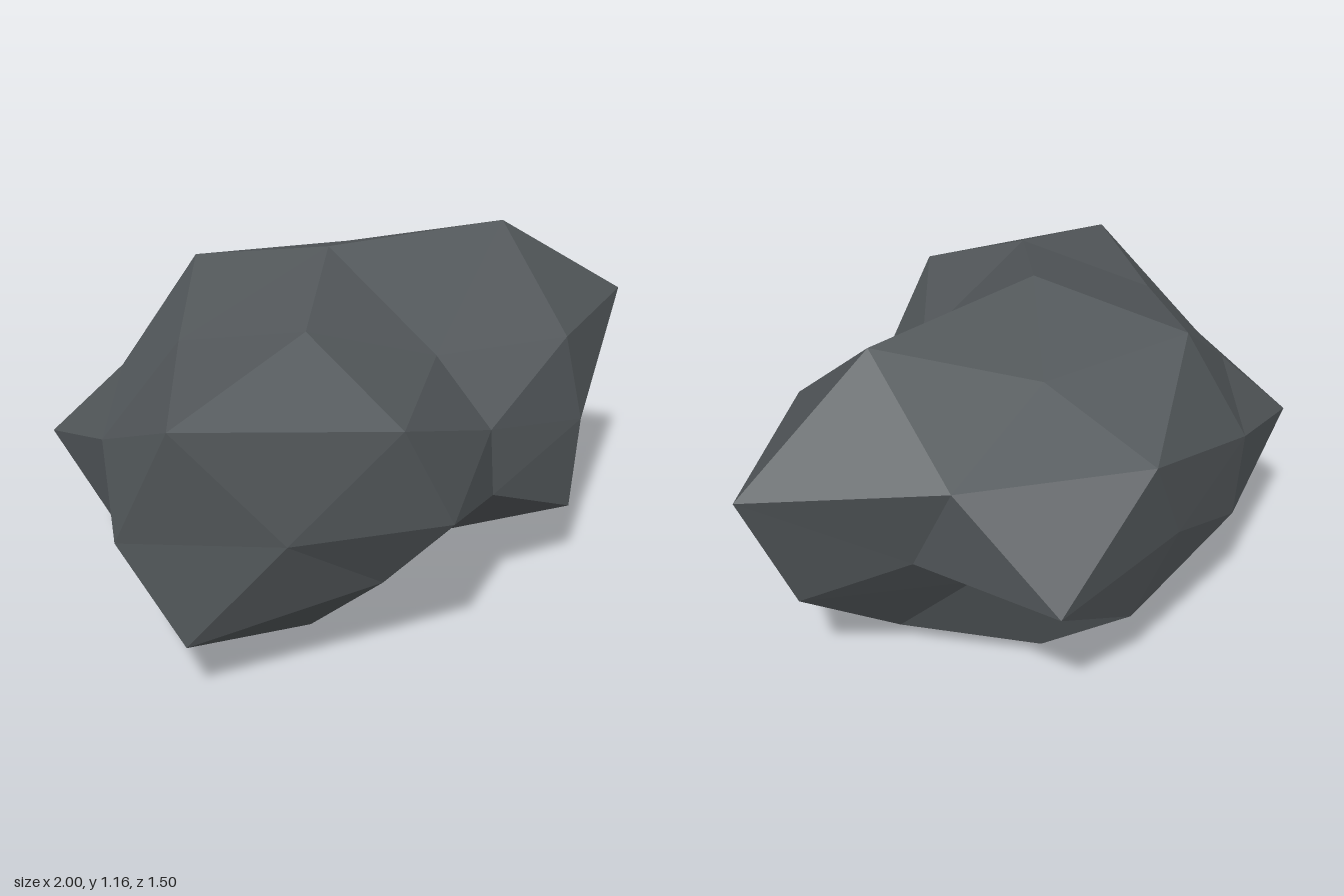
import * as THREE from 'three';

// Faceted boulder: an icosphere whose pole faces +z, stretched per axis,
// with every corner pushed in or out by its own amount.
const CENTRE = [-0.12, 0.56, 0];
const STRETCH = [0.365, 0, 0.2];

// Rows from front pole to back pole: direction z, first angle (degrees), radius per corner
const ROWS = {
  front: { z: 1, start: 0, r: [0.54] },
  frontCap: { z: 0.8507, start: 36, r: [0.345, 0.67, 0.53, 0.475, 0.36] },
  frontRing: { z: 0.4472, start: 36, r: [0.55, 0.595, 0.615, 0.56, 0.592] },
  frontMid: { z: 0.5257, start: 72, r: [0.39, 0.735, 0.68, 0.37, 0.48] },
  equator: { z: 0, start: 18, r: [0.813, 0.712, 0.6, 0.49, 0.435, 0.42, 0.64, 0.56, 0.585, 0.614] },
  backRing: { z: -0.4472, start: 0, r: [0.425, 0.55, 0.43, 0.505, 0.58] },
  backMid: { z: -0.5257, start: 36, r: [0.625, 0.6, 0.55, 0.56, 0.34] },
  backCap: { z: -0.8507, start: 0, r: [0.69, 0.65, 0.49, 0.47, 0.54] },
  back: { z: -1, start: 0, r: [0.47] },
};

function corner(name, k) {
  const { z, start, r } = ROWS[name];
  const i = k % r.length;
  const angle = THREE.MathUtils.degToRad(start + (360 / r.length) * i);
  const flat = Math.sqrt(1 - z * z);
  const dir = [flat * Math.cos(angle), flat * Math.sin(angle), z];
  return dir.map((d, axis) => CENTRE[axis] + d * (r[i] + STRETCH[axis]));
}

function rockGeometry() {
  const positions = [];
  // One large triangle becomes four, using the corners on its edges
  const split = (a, b, c, ab, bc, ca) =>
    [a, ab, ca, ab, b, bc, ca, bc, c, ab, bc, ca].forEach((p) => positions.push(...p));

  for (let k = 0; k < 5; k++) {
    const n = k + 1;
    const a0 = corner('frontRing', k), a1 = corner('frontRing', n);
    const b0 = corner('backRing', k), b1 = corner('backRing', n);
    const e0 = corner('equator', 2 * k), e1 = corner('equator', 2 * k + 1), e2 = corner('equator', 2 * k + 2);
    const aMid = corner('frontMid', k), bMid = corner('backMid', k);
    // front cap, the two belt triangles, back cap
    split(corner('front', 0), a0, a1, corner('frontCap', k), aMid, corner('frontCap', n));
    split(a0, b1, a1, e1, e2, aMid);
    split(a0, b0, b1, e0, bMid, e1);
    split(corner('back', 0), b1, b0, corner('backCap', n), bMid, corner('backCap', k));
  }
  const geometry = new THREE.BufferGeometry();
  geometry.setAttribute('position', new THREE.Float32BufferAttribute(positions, 3));
  geometry.computeVertexNormals(); // unshared corners give flat facets
  return geometry;
}

export function createModel() {
  const group = new THREE.Group();
  group.name = 'boulder';
  const stone = new THREE.MeshStandardMaterial({ color: 0x53585b, flatShading: true });
  stone.name = 'dark slate stone';
  const rock = new THREE.Mesh(rockGeometry(), stone);
  rock.name = 'rock';
  group.add(rock);
  return group;
}
